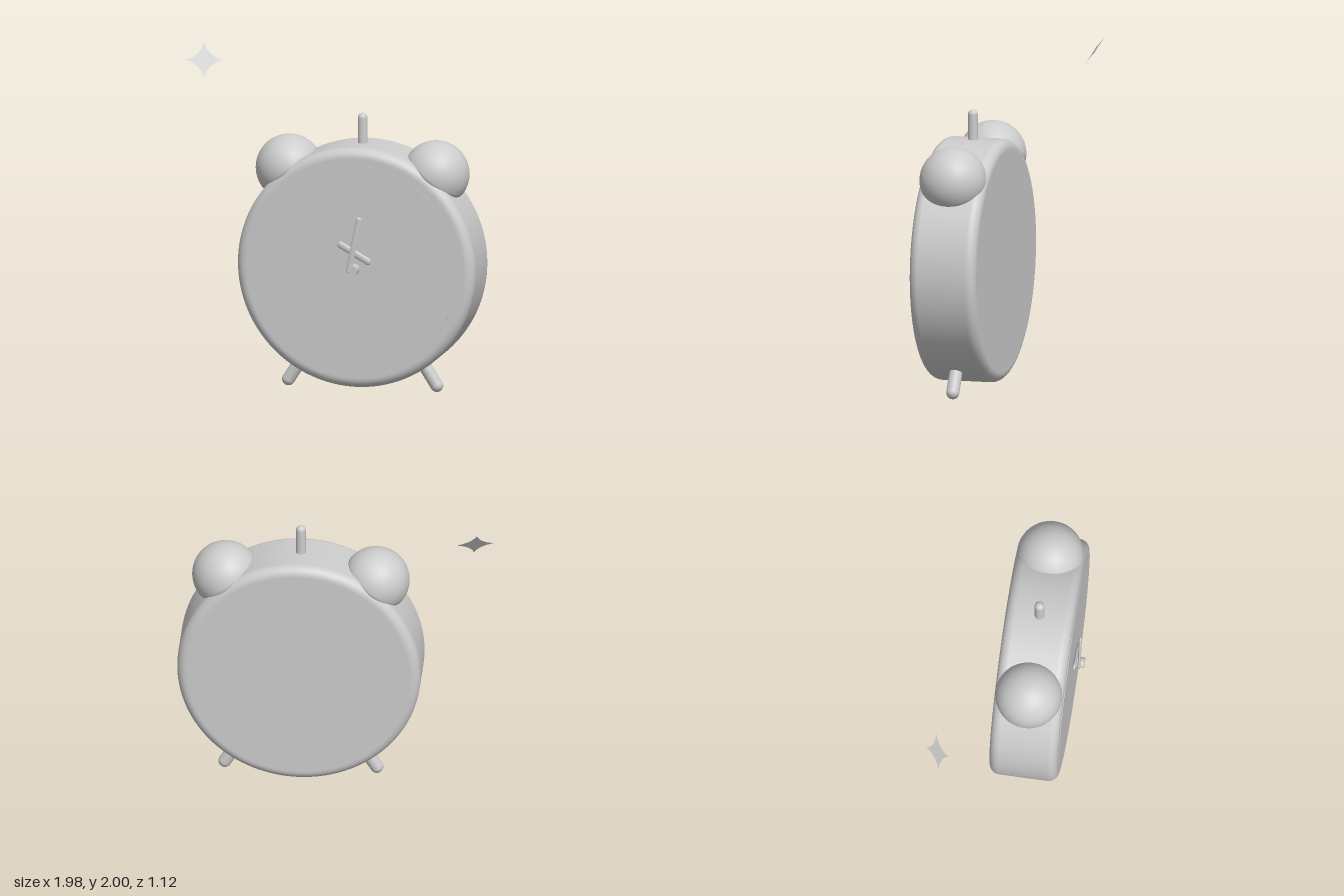
import * as THREE from 'three';

export function createModel() {
  const model = new THREE.Group();
  const grey = new THREE.MeshStandardMaterial({ color: 0xcccccc });
  grey.name = 'light grey';
  const greyThin = grey;
  greyThin.side = THREE.DoubleSide;

  const clock = new THREE.Group();
  clock.name = 'alarmClock';
  clock.position.set(0.275, 0.785, 0);
  clock.rotation.y = 0.576;
  model.add(clock);

  const add = (parent, name, geometry) => {
    const mesh = new THREE.Mesh(geometry, grey);
    mesh.name = name;
    parent.add(mesh);
    return mesh;
  };

  // Points along a circular arc, used for lathe profiles
  const arc = (cx, cy, r, from, to, steps) =>
    Array.from({ length: steps + 1 }, (_, i) => {
      const a = from + ((to - from) * i) / steps;
      return new THREE.Vector2(Math.max(0, cx + r * Math.cos(a)), cy + r * Math.sin(a));
    });

  // Round-ended rod between two points
  const rod = (name, a, b, r, flatten = 1) => {
    const from = new THREE.Vector3(...a), to = new THREE.Vector3(...b);
    const dir = to.clone().sub(from);
    const mesh = add(clock, name, new THREE.CapsuleGeometry(r, dir.length(), 12, 32));
    mesh.position.copy(from).add(to).multiplyScalar(0.5);
    mesh.rotation.z = Math.atan2(-dir.x, dir.y);
    mesh.scale.z = flatten;
    return mesh;
  };

  // Case: thick drum with rounded rims
  const R = 0.745, T = 0.21, B = 0.06, Q = Math.PI / 2;
  const profile = [
    new THREE.Vector2(0, -T), new THREE.Vector2(R - B - 0.005, -T),
    ...arc(R - B, -T + B, B, -Q, 0, 10),
    ...arc(R - B, T - B, B, 0, Q, 10),
    new THREE.Vector2(R - B - 0.005, T), new THREE.Vector2(0, T),
  ];
  add(clock, 'case', new THREE.LatheGeometry(profile, 128)).rotation.x = Q;

  // Dial
  const dial = add(clock, 'dial', new THREE.CylinderGeometry(0.645, 0.645, 0.004, 128));
  dial.rotation.x = Q;
  dial.position.z = T + 0.001;

  // Hands and centre hub
  rod('hourHand', [-0.085, 0.148, 0.226], [0.085, 0.052, 0.226], 0.021, 0.5);
  rod('minuteHand', [-0.028, -0.005, 0.247], [0.034, 0.31, 0.247], 0.018, 0.5);
  const hub = add(clock, 'handHub', new THREE.CylinderGeometry(0.032, 0.032, 0.07, 40));
  hub.rotation.x = Q;
  hub.position.z = T + 0.033;

  // Bells and feet, mirrored
  const bellProfile = [
    new THREE.Vector2(0, -0.03), new THREE.Vector2(0.17, -0.03),
    ...arc(0.175, 0, 0.03, -Q, 0, 6),
    ...arc(0, 0, 0.205, 0.03, Q, 24),
  ];
  for (const [side, s] of [['left', 1], ['right', -1]]) {
    const bell = add(clock, side + 'Bell', new THREE.LatheGeometry(bellProfile, 64));
    bell.position.set(s * 0.46, 0.572, 0);
    bell.rotation.z = -s * 0.66;
    rod(side + 'Foot', [s * 0.36, -0.58, 0], [s * 0.465, -0.745, 0], 0.04);
  }

  // Hammer post
  rod('hammerPost', [0, 0.7, 0], [0, 0.9, 0], 0.03);

  // Floating four-pointed sparkle with hollow sides
  const r = 0.119, c = r * 0.2;
  const star = new THREE.Shape();
  star.moveTo(r, 0);
  star.quadraticCurveTo(c, c, 0, r);
  star.quadraticCurveTo(-c, c, -r, 0);
  star.quadraticCurveTo(-c, -c, 0, -r);
  star.quadraticCurveTo(c, -c, r, 0);
  const sparkle = add(model, 'sparkle', new THREE.ShapeGeometry(star, 12));
  sparkle.position.set(-0.908, 1.904, 0.208);
  sparkle.lookAt(-0.908 + 1, 1.904 + 1, 0.208 + 1);

  return model;
}
